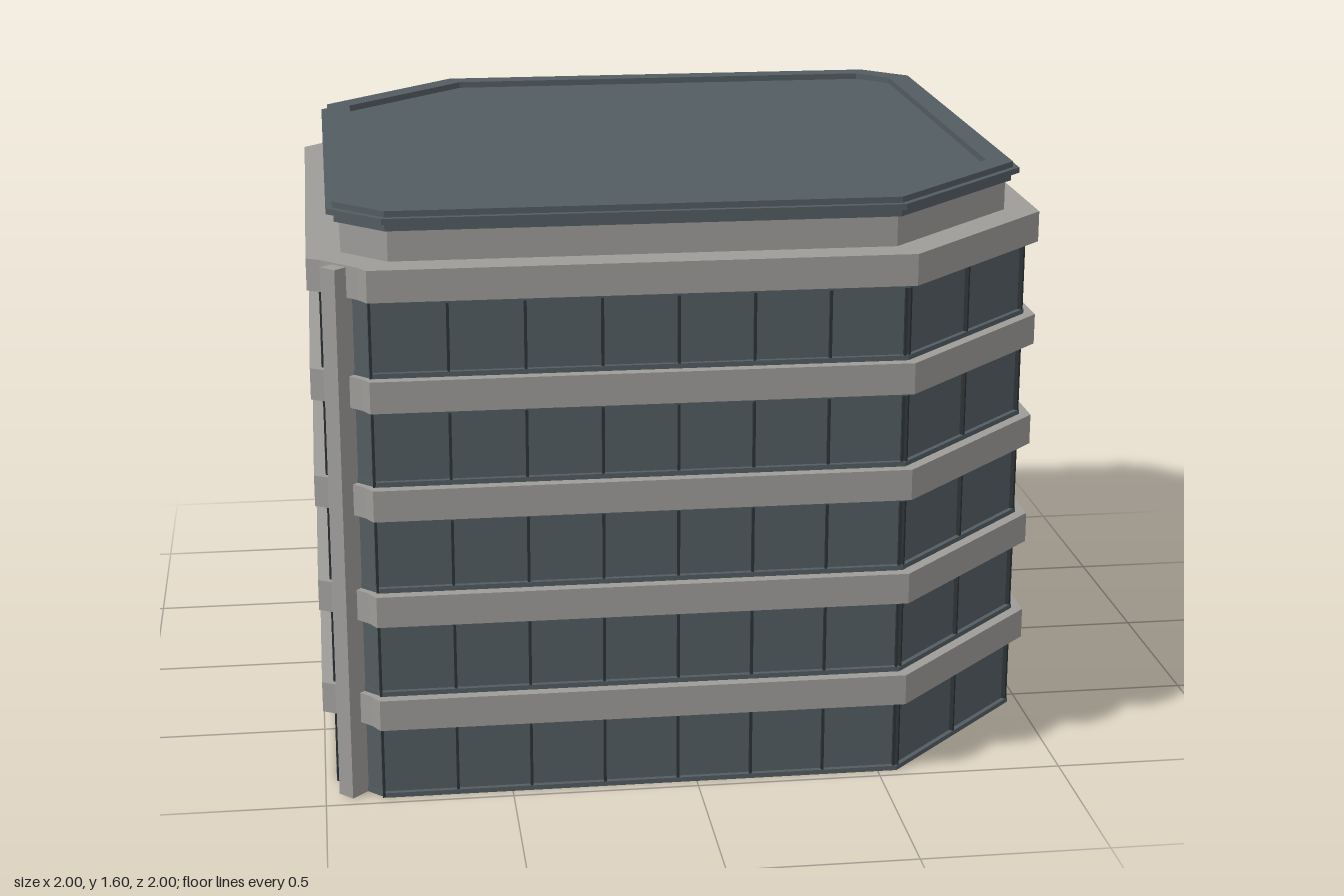
import * as THREE from 'three';

const concrete = new THREE.MeshStandardMaterial({ color: 0x9d9c99 });
concrete.name = 'concrete';
const glass = new THREE.MeshStandardMaterial({ color: 0x535d62 });
glass.name = 'slate glass';
const dark = new THREE.MeshStandardMaterial({ color: 0x2c3235 });
dark.name = 'dark frame';

const FLOORS = 5, PITCH = 0.2925, WINDOW = 0.208;

// Square plan with two wide and two narrow corner cuts; points are (x, -z).
// The wide cut is kept parallel as the half size h changes.
const wide = (h) => 0.565 - 0.414 * (1 - h);
function plan(h, b = 0.83 - 0.414 * (1 - h), notched = false) {
  const a = wide(h);
  const corner = notched
    ? [[h, b], [h - 0.035, b + 0.02], [b + 0.02, h - 0.035], [b, h]]
    : [[h, b], [b, h]];
  const half = [[h, -a], ...corner, [-a, h]];
  return [...half, ...half.map(([x, y]) => [-x, -y])].map(([x, y]) => new THREE.Vector2(x, y));
}

// Upright extrusion of a plan, with an optional hollow middle
function slab(name, outer, inner, y0, y1, material) {
  const shape = new THREE.Shape(outer);
  if (inner) shape.holes.push(new THREE.Path(inner));
  const geo = new THREE.ExtrudeGeometry(shape, { depth: y1 - y0, bevelEnabled: false });
  geo.rotateX(-Math.PI / 2).translate(0, y0, 0);
  const mesh = new THREE.Mesh(geo, material);
  mesh.name = name;
  return mesh;
}

export function createModel() {
  const model = new THREE.Group();
  model.name = 'officeBuilding';

  // Storeys: glazing, rails and a projecting concrete band
  for (let i = 0; i < FLOORS; i++) {
    const y = i * PITCH, top = y + WINDOW, last = i === FLOORS - 1;
    const storey = new THREE.Group();
    storey.name = 'storey' + (i + 1);
    storey.add(
      slab('glazing', plan(0.957, 0.85), plan(0.938, 0.842), y, top, glass),
      slab('lowerRail', plan(0.97, 0.84), plan(0.93, 0.835), y, y + 0.013, glass),
      slab('upperRail', plan(0.97, 0.84), plan(0.93, 0.835), top - 0.013, top, glass),
      slab('floorBand', plan(1, 0.85, true), plan(last ? 0.88 : 0.925), top, y + PITCH, concrete)
    );
    model.add(storey);
  }

  // Window mullions on the four long walls and the two wide corners
  const mullions = new THREE.Group();
  mullions.name = 'mullions';
  const height = (FLOORS - 1) * PITCH + WINDOW;
  const finGeo = new THREE.BoxGeometry(0.007, height, 0.038);
  function finRow(from, to, panels) {
    const angle = Math.atan2(-(to.y - from.y), to.x - from.x);
    for (let i = 0; i <= panels; i++) {
      const p = from.clone().lerp(to, i / panels);
      const fin = new THREE.Mesh(finGeo, dark);
      fin.name = 'mullion';
      fin.position.set(p.x, height / 2, p.y);
      fin.rotation.y = angle;
      mullions.add(fin);
    }
  }
  const m = 0.95, a = wide(m), b = 0.845;
  const V = (x, z) => new THREE.Vector2(x, z);
  for (const s of [1, -1]) {
    finRow(V(-b * s, m * s), V(a * s, m * s), 7);
    finRow(V(m * s, a * s), V(m * s, -b * s), 7);
    finRow(V(a * s, m * s), V(m * s, a * s), 2);
  }
  model.add(mullions);

  // Concrete columns on the narrow corners
  for (const s of [1, -1]) {
    const column = new THREE.Mesh(new THREE.BoxGeometry(0.15, FLOORS * PITCH - 0.005, 0.05), concrete);
    column.name = 'cornerColumn';
    column.position.set(0.893 * s, (FLOORS * PITCH - 0.005) / 2, -0.893 * s);
    column.rotation.y = Math.PI / 4;
    model.add(column);
  }

  // Set-back parapet and stepped roof rim around a shallow deck
  const y = FLOORS * PITCH, inner = plan(0.86);
  model.add(
    slab('parapet', plan(0.91), inner, y, 1.545, concrete),
    slab('roofRimBase', plan(0.925), inner, 1.545, 1.567, glass),
    slab('roofRimLip', plan(0.945), inner, 1.567, 1.582, glass),
    slab('roofRimTop', plan(0.928), inner, 1.582, 1.598, glass),
    slab('roofDeck', plan(0.862), null, 1.55, 1.58, glass)
  );
  return model;
}
